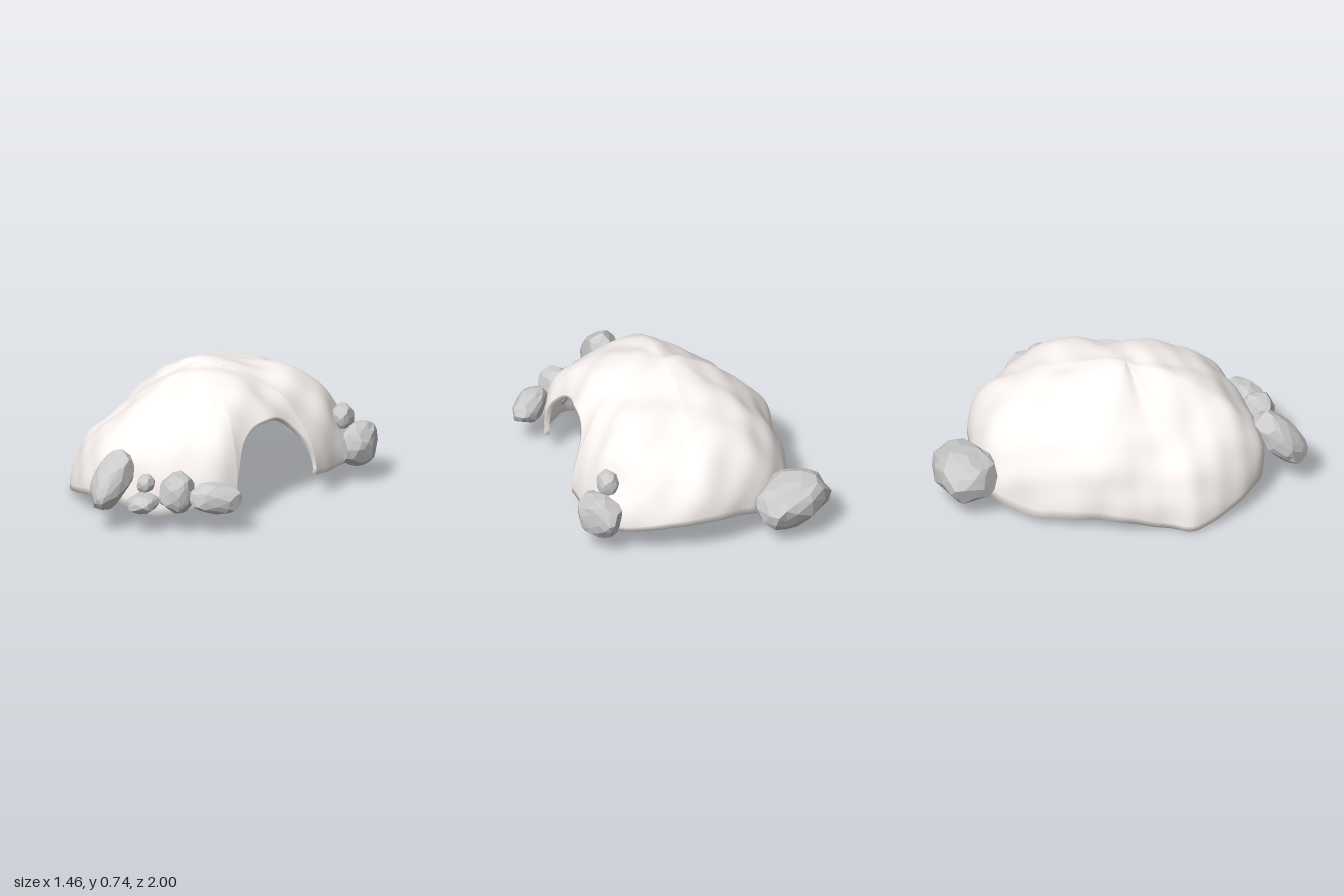
import * as THREE from 'three';

const V = (x, y, z) => new THREE.Vector3(x, y, z);

function seeded(seed) {
  let s = seed * 7919 + 13;
  return () => (s = (s * 16807) % 2147483647) / 2147483647;
}

// Hollow dome: columns run round the rim, rows climb to the apex.
function shellGeometry() {
  const ROWS = 40, THICK = 0.028, TOP = 0.73, ARCH = 34;
  // Rim from the front side of the doorway, round the front, left and back, to its other side
  const rim = new THREE.CatmullRomCurve3([
    V(0.59, 0.125, 0.34), V(0.55, 0.12, 0.46), V(0.43, 0.1, 0.58), V(0.29, 0.06, 0.67),
    V(0.13, 0.105, 0.75), V(-0.02, 0.115, 0.78), V(-0.17, 0.1, 0.75), V(-0.35, 0.05, 0.65),
    V(-0.51, 0.002, 0.51), V(-0.53, 0.005, 0.33), V(-0.59, 0.055, 0.13), V(-0.62, 0.06, -0.05),
    V(-0.61, 0.045, -0.25), V(-0.59, 0.025, -0.43), V(-0.54, 0.06, -0.59), V(-0.37, 0.12, -0.76),
    V(-0.2, 0.17, -0.84), V(0, 0.19, -0.89), V(0.2, 0.175, -0.86), V(0.43, 0.135, -0.77),
    V(0.54, 0.12, -0.6), V(0.585, 0.12, -0.42), V(0.61, 0.135, -0.28),
  ], false, 'centripetal');
  const cols = rim.getSpacedPoints(130).map((base) => ({ base, edge: base.y }));
  for (let i = 1; i < ARCH; i++) {
    const s = -Math.cos((i / ARCH) * Math.PI);
    const k = (s + 1) / 2;
    const base = V(0.61 - 0.02 * k, 0.135 - 0.01 * k, 0.03 + 0.31 * s * (1 + 0.12 * (1 - s * s)));
    cols.push({ base, edge: base.y + 0.37 * Math.pow(1 - Math.pow(Math.abs(s), 2.6), 0.5) });
  }
  const C = cols.length, apex = C * ROWS, N = apex + 1;
  const id = (c, r) => (r === ROWS ? apex : (c % C) * ROWS + r);

  // Walls are full on the doorway side, lean in elsewhere and flare at two corners
  const pos = [];
  for (const { base, edge } of cols) {
    const a = Math.atan2(base.z, base.x);
    const flare = Math.max(0, -Math.sin(2 * a));
    const p = 1.3 + Math.max(0, Math.cos(a)) ** 2 + 0.2 * Math.abs(Math.sin(a)) - 0.28 * flare;
    const e = 0.8 + 0.17 * flare;
    const rise = TOP - base.y;
    const t0 = Math.asin(Math.pow((edge - base.y) / rise, 1 / e));
    for (let r = 0; r < ROWS; r++) {
      const t = t0 + (Math.PI / 2 - t0) * (r / ROWS);
      const u = Math.pow(Math.cos(t), 2 / p);
      pos.push(base.x * u, base.y + rise * Math.pow(Math.sin(t), e), base.z * u);
    }
  }
  pos.push(0, TOP, 0);

  const outer = [];
  for (let c = 0; c < C; c++) {
    for (let r = 0; r < ROWS; r++) {
      outer.push(id(c, r), id(c, r + 1), id(c + 1, r));
      if (r < ROWS - 1) outer.push(id(c + 1, r), id(c, r + 1), id(c + 1, r + 1));
    }
  }
  const skin = new THREE.BufferGeometry();
  skin.setAttribute('position', new THREE.Float32BufferAttribute(pos, 3));
  skin.setIndex(outer);
  skin.computeVertexNormals();
  const n = skin.attributes.normal;

  // Soft lumps, a back corner and a left shoulder, then an inner skin offset by the thickness
  const all = new Array(N * 6);
  for (let i = 0; i < N; i++) {
    const [x, y, z] = [pos[3 * i], pos[3 * i + 1], pos[3 * i + 2]];
    const d = 0.008 * Math.sin(11 * x + 2 * Math.sin(7 * z)) * Math.cos(9 * z + 5 * y)
      + 0.007 * Math.sin(15 * z + 2 * Math.sin(8 * x)) * Math.cos(12 * y - 4 * x)
      + 0.005 * Math.sin(23 * x + 11 * z + 9 * y) * Math.cos(17 * z - 14 * y)
      + 0.055 * Math.exp(-((x - 0.32) ** 2 + (z + 0.46) ** 2) / 0.03)
      + 0.012 * Math.exp(-((x + 0.53) ** 2 + (y - 0.36) ** 2) / 0.015 - z * z / 0.1);
    [n.getX(i), n.getY(i), n.getZ(i)].forEach((m, k) => {
      const v = pos[3 * i + k] + m * d;
      all[3 * i + k] = k === 1 ? Math.max(0, v) : v;
      all[3 * (N + i) + k] = v - m * THICK;
    });
  }
  const index = outer.slice();
  for (let i = 0; i < outer.length; i += 3) index.push(N + outer[i], N + outer[i + 2], N + outer[i + 1]);
  // Rim joining both skins
  for (let c = 0; c < C; c++) {
    const a = id(c, 0), b = id(c + 1, 0);
    index.push(a, b, N + a, b, N + b, N + a);
  }
  const g = new THREE.BufferGeometry();
  g.setAttribute('position', new THREE.Float32BufferAttribute(all, 3));
  g.setIndex(index);
  g.computeVertexNormals();
  return g;
}

// Faceted stone: a blunt ball with random flats, stretched, turned and fitted to a box
function rockGeometry(min, max, stretch, turn, seed) {
  const rnd = seeded(seed);
  const g = new THREE.IcosahedronGeometry(1, 2);
  const p = g.attributes.position, v = V(0, 0, 0);
  const blunt = (c) => Math.sign(c) * Math.pow(Math.abs(c), 0.7);
  const flats = Array.from({ length: 16 }, (_, i) => {
    const y = 1 - (2 * i + 1) / 16, a = i * 2.4 + rnd() * 0.7, r = Math.sqrt(1 - y * y);
    return { n: V(r * Math.cos(a), y, r * Math.sin(a)), d: 0.9 + rnd() * 0.1 };
  });
  for (let i = 0; i < p.count; i++) {
    v.fromBufferAttribute(p, i);
    v.set(blunt(v.x), blunt(v.y), blunt(v.z));
    for (const f of flats) {
      const over = v.dot(f.n) - f.d;
      if (over > 0) v.addScaledVector(f.n, -over);
    }
    p.setXYZ(i, v.x, v.y, v.z);
  }
  g.scale(...stretch);
  g.applyMatrix4(new THREE.Matrix4().makeRotationFromEuler(new THREE.Euler(...turn)));
  g.center();
  g.computeBoundingBox();
  const size = g.boundingBox.getSize(V(0, 0, 0));
  g.scale(...[0, 1, 2].map((k) => (max[k] - min[k]) / size.getComponent(k)));
  g.translate(...[0, 1, 2].map((k) => (max[k] + min[k]) / 2));
  g.computeVertexNormals();
  return g;
}

export function createModel() {
  const model = new THREE.Group();
  model.name = 'rockShelter';

  const shell = new THREE.Mesh(shellGeometry(), new THREE.MeshStandardMaterial({ color: 0xfcf6f3 }));
  shell.name = 'domeShell';
  model.add(shell);

  const stone = new THREE.MeshStandardMaterial({ color: 0xcccccc, flatShading: true });
  // name, box min, box max, stretch, turn
  const rocks = [
    ['frontTallRock', [0.02, 0.13, 0.7], [0.21, 0.44, 1], [0.95, 1.9, 1], [-0.7, 0, 0]],
    ['frontFlatRock', [0.2, 0.115, 0.69], [0.38, 0.22, 0.88], [1, 0.55, 1], [0, 0.3, 0.05]],
    ['frontPebble', [0.21, 0.21, 0.68], [0.305, 0.31, 0.78], [1, 1, 1], [0, 0, 0]],
    ['frontRoundRock', [0.33, 0.11, 0.55], [0.52, 0.34, 0.75], [1, 1.2, 1], [0, 0.4, 0]],
    ['doorwayRock', [0.49, 0.12, 0.41], [0.725, 0.29, 0.665], [1.5, 0.8, 0.8], [0, 0.85, 0]],
    ['backRightRock', [0.46, 0.09, -0.82], [0.68, 0.33, -0.53], [1.3, 1, 0.9], [0, -1, 0]],
    ['backRightPebble', [0.445, 0.3, -0.67], [0.565, 0.44, -0.54], [1, 1.1, 1], [0, 0.2, 0]],
    ['backLeftBoulder', [-0.73, 0.07, -1], [-0.28, 0.35, -0.61], [1.4, 0.85, 1], [0, 0.5, 0]],
  ];
  rocks.forEach(([name, min, max, stretch, turn], i) => {
    const rock = new THREE.Mesh(rockGeometry(min, max, stretch, turn, i + 3), stone);
    rock.name = name;
    model.add(rock);
  });
  return model;
}
